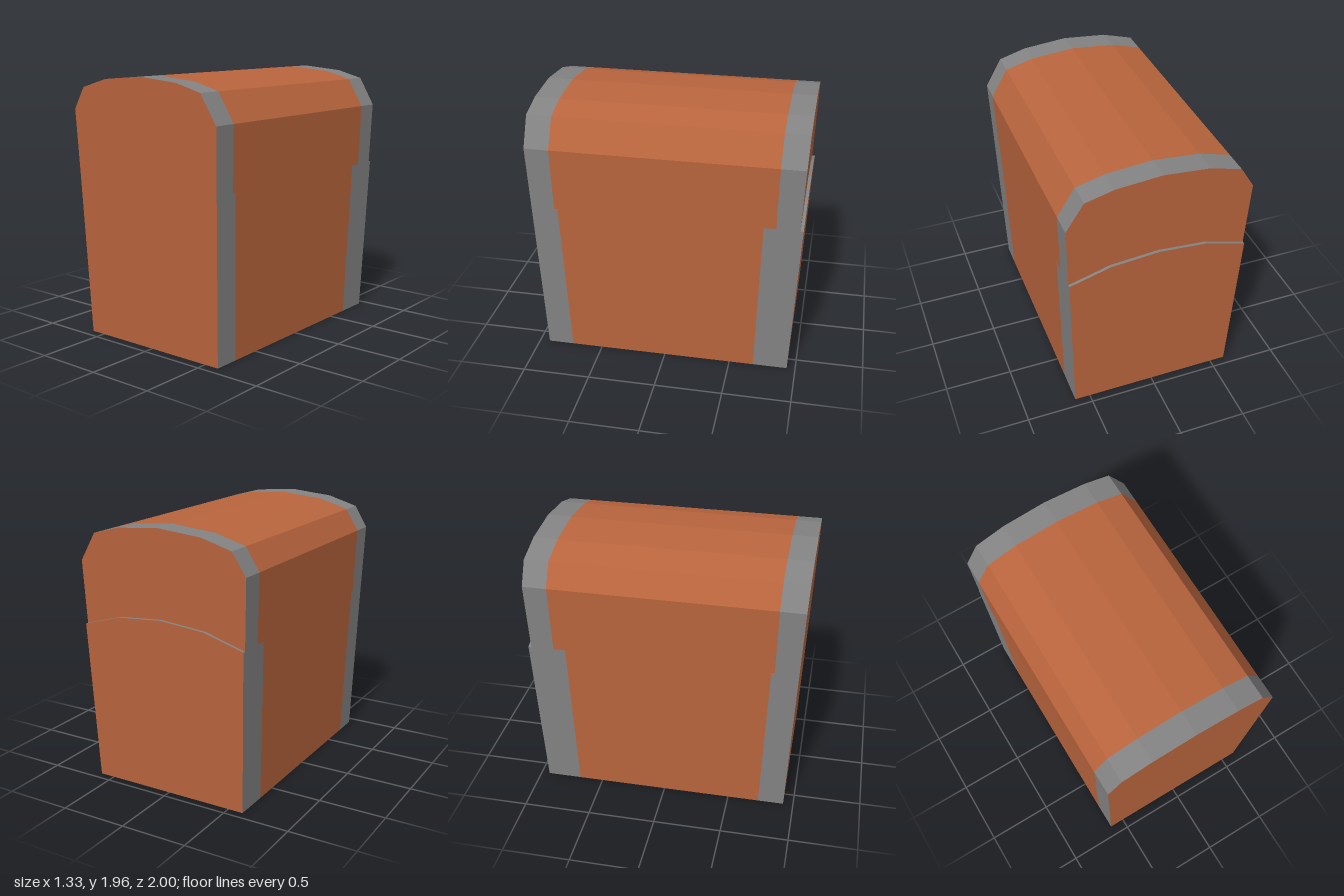
import * as THREE from 'three';

const wood = new THREE.MeshStandardMaterial({ color: 0xb9653d });
wood.name = 'orange wood';
const iron = new THREE.MeshStandardMaterial({ color: 0x838383 });
iron.name = 'grey iron';

// Plane whose depth leans with height: z at the floor plus slope * y
const lean = (z0, slope) => (y) => z0 + slope * y;

function makeMesh(name, positions, material) {
  const geometry = new THREE.BufferGeometry();
  geometry.setAttribute('position', new THREE.Float32BufferAttribute(positions, 3));
  geometry.computeVertexNormals(); // unshared corners give flat facets
  const mesh = new THREE.Mesh(geometry, material);
  mesh.name = name;
  return mesh;
}

// Open sleeve following a counter-clockwise outline between two leaning planes
function sleeve(name, outline, back, front, material) {
  const positions = [];
  outline.forEach(([x1, y1], i) => {
    const [x2, y2] = outline[(i + 1) % outline.length];
    const a = [x1, y1, front(y1)], b = [x1, y1, back(y1)];
    const c = [x2, y2, back(y2)], d = [x2, y2, front(y2)];
    positions.push(...a, ...b, ...c, ...a, ...c, ...d);
  });
  return makeMesh(name, positions, material);
}

// Flat end panel filling the outline on a leaning plane
function panel(name, outline, plane, facesBack) {
  const points = outline.map(([x, y]) => new THREE.Vector2(x, y));
  const positions = [];
  for (const tri of THREE.ShapeUtils.triangulateShape(points, [])) {
    const order = facesBack ? [...tri].reverse() : tri;
    for (const i of order) {
      const [x, y] = outline[i];
      positions.push(x, y, plane(y));
    }
  }
  return makeMesh(name, positions, wood);
}

// Wooden middle, iron band at both ends, wooden end panels
function chestPart(name, outline, planes) {
  const [back, backBand, frontBand, front] = planes;
  const group = new THREE.Group();
  group.name = name;
  group.add(
    sleeve(name + 'Planks', outline, backBand, frontBand, wood),
    sleeve(name + 'BackBand', outline, back, backBand, iron),
    sleeve(name + 'FrontBand', outline, frontBand, front, iron),
    panel(name + 'BackPanel', outline, back, true),
    panel(name + 'FrontPanel', outline, front, false),
  );
  return group;
}

export function createModel() {
  const chest = new THREE.Group();
  chest.name = 'chest';

  // Arched seam between body and lid, right to left
  const seam = [[0.648, 1.2], [0.35, 1.29], [0, 1.32], [-0.35, 1.29], [-0.65, 1.2]];
  const frontFace = lean(0.925, 0.0385);

  const bodyOutline = [[-0.615, 0], [0.615, 0], ...seam];
  chest.add(chestPart('body', bodyOutline, [
    lean(-0.937, -0.047), lean(-0.68, -0.03), lean(0.732, 0.037), frontFace,
  ]));

  // Faceted barrel lid, slightly set in at the back
  const lidOutline = [
    ...[...seam].reverse(),
    [0.661, 1.665], [0.535, 1.872], [0.33, 1.928], [0, 1.957],
    [-0.335, 1.928], [-0.565, 1.862], [-0.667, 1.7],
  ];
  chest.add(chestPart('lid', lidOutline, [
    lean(-0.925, -0.0385), lean(-0.777, -0.022), lean(0.776, 0.02), frontFace,
  ]));

  return chest;
}
